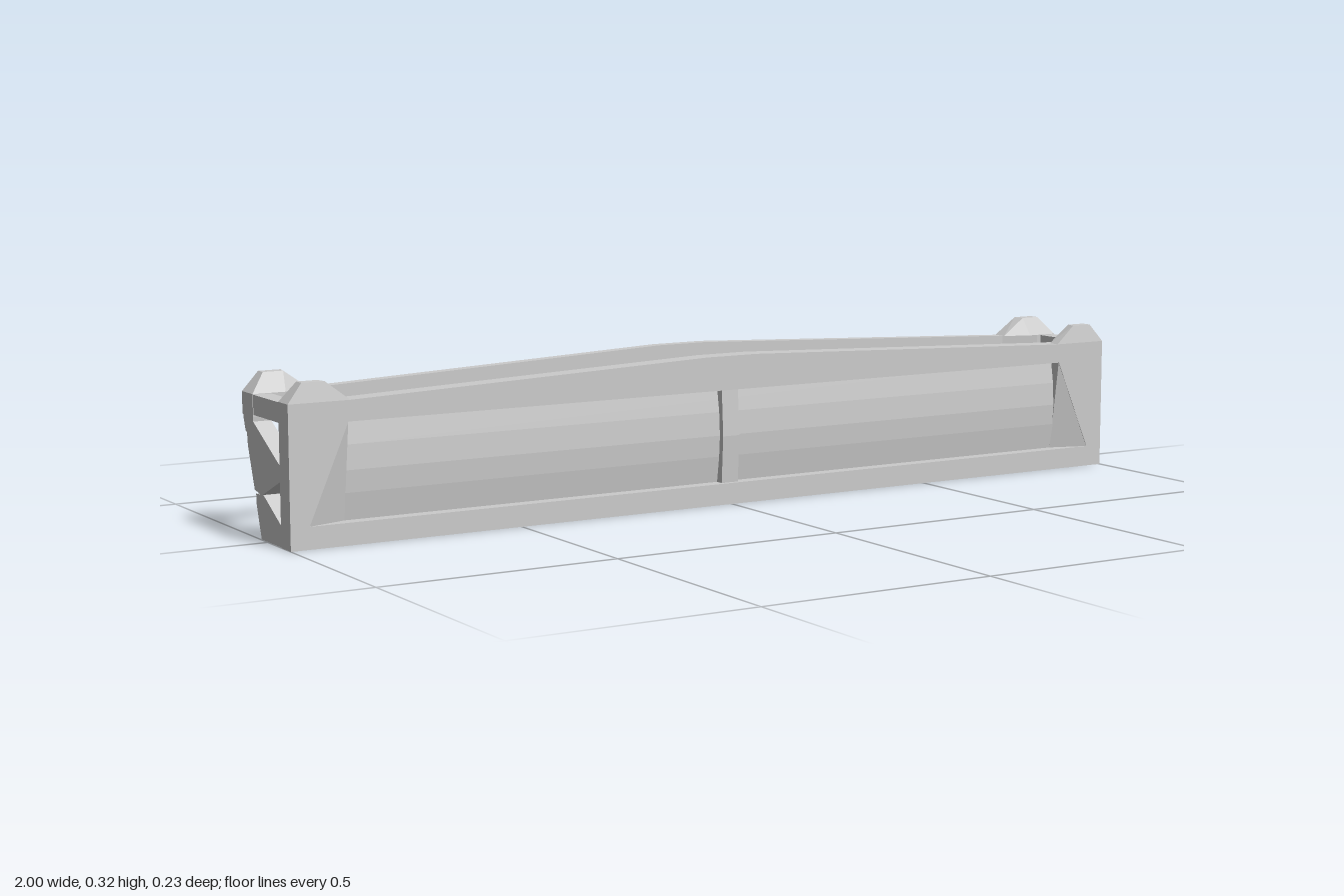
import * as THREE from 'three';
import { ConvexGeometry } from 'three/addons/geometries/ConvexGeometry.js';

const material = new THREE.MeshStandardMaterial({ color: 0xcccccc, flatShading: true, side: THREE.DoubleSide });

const toShape = (pts) => new THREE.Shape(pts.map(([a, b]) => new THREE.Vector2(a, b)));

export function createModel() {
  const model = new THREE.Group();
  const add = (name, geometry) => {
    const mesh = new THREE.Mesh(geometry, material);
    mesh.name = name;
    model.add(mesh);
    return mesh;
  };

  // Outline drawn in x, y and extruded from z0 to z1
  const alongZ = (shape, z0, z1) =>
    new THREE.ExtrudeGeometry(shape, { depth: z1 - z0, bevelEnabled: false }).translate(0, 0, z0);

  // Outline drawn in z, y and extruded from x0 to x1
  const alongX = (pts, x0, x1) =>
    new THREE.ExtrudeGeometry(toShape(pts), { depth: x1 - x0, bevelEnabled: false })
      .rotateY(-Math.PI / 2).translate(x1, 0, 0);

  const hull = (pts) => new ConvexGeometry(pts.map((p) => new THREE.Vector3(...p)));

  // Front frame with a gently peaked top and a window
  const frame = toShape([[-1, 0], [1, 0], [1, 0.285], [0.87, 0.285], [0.06, 0.315], [-0.06, 0.315],
    [-0.87, 0.285], [-1, 0.285]]);
  frame.holes.push(new THREE.Path([[-0.96, 0.045], [-0.875, 0.243], [0.875, 0.243], [0.96, 0.045]]
    .map(([x, y]) => new THREE.Vector2(x, y))));
  add('frontFrame', alongZ(frame, 0.068, 0.114));

  // Panel bulging softly forward inside the window
  add('frontPanel', alongX([[0.074, 0.04], [0.085, 0.04], [0.094, 0.1], [0.097, 0.145],
    [0.094, 0.195], [0.085, 0.25], [0.074, 0.25]], -0.89, 0.89));

  // Narrow upright in the middle of the window
  add('frontStrut', alongX([[0.07, 0.04], [0.104, 0.04], [0.11, 0.145], [0.104, 0.25], [0.07, 0.25]], -0.02, 0.02));

  // Rear rail with a peaked top
  add('rearRail', alongZ(toShape([[-0.98, 0.24], [0.98, 0.24], [0.98, 0.285], [0.87, 0.285],
    [0.06, 0.32], [-0.06, 0.32], [-0.87, 0.285], [-0.98, 0.285]]), -0.114, -0.088));

  // Support bracket: foot, and arm reaching back to the rear rail
  const foot = [[0.075, 0], [-0.035, 0], [-0.058, 0.07], [-0.058, 0.088], [-0.02, 0.09], [0.075, 0.037]];
  const arm = [[0.075, 0.127], [0.068, 0.13], [-0.03, 0.088], [-0.065, 0.095], [-0.095, 0.18], [-0.098, 0.205],
    [-0.105, 0.208], [-0.113, 0.23], [-0.114, 0.285], [-0.06, 0.285], [-0.065, 0.23], [0.068, 0.158], [0.075, 0.158]];
  const addBracket = (name, x0, x1) => {
    add(name + 'Foot', alongX(foot, x0, x1));
    add(name + 'Arm', alongX(arm, x0, x1));
    add(name + 'Joint', alongX([[-0.028, 0.08], [-0.056, 0.08], [-0.063, 0.1], [-0.03, 0.1]], x0 + 0.005, x1 - 0.005));
  };
  // The middle arm ends beneath the rail instead of forming a corner post
  const middleArm = [[0.075, 0.127], [0.068, 0.13], [-0.03, 0.088], [-0.065, 0.095], [-0.095, 0.18], [-0.098, 0.205],
    [-0.113, 0.23], [-0.113, 0.26], [-0.09, 0.26], [-0.08, 0.235], [0.068, 0.158], [0.075, 0.158]];
  add('middleFoot', alongX(foot, -0.016, 0.012));
  add('middleArm', alongX(middleArm, -0.016, 0.012));

  for (const side of [-1, 1]) {
    const label = side > 0 ? 'left' : 'right';
    const [x0, x1] = side > 0 ? [0.96, 0.998] : [-0.998, -0.96];
    addBracket(label + 'Bracket', x0, x1);

    // Cross beam between front frame and rear rail
    add(label + 'CrossBeam', new THREE.BoxGeometry(0.038, 0.04, 0.17).translate(side * 0.98, 0.264, -0.01));

    // Sloped cheek closing the side of the window
    add(label + 'WindowCheek', hull([[0.875, 0.243, 0.113], [0.96, 0.045, 0.113], [0.875, 0.243, 0.07],
      [0.96, 0.045, 0.07], [0.875, 0.045, 0.086], [0.875, 0.045, 0.07]].map(([x, y, z]) => [side * x, y, z])));

    // Tapered corner caps, front and rear
    const addCap = (name, outer, inner, topOuter, topInner) => add(name, hull([
      [1, 0.285, outer], [0.87, 0.285, outer], [1, 0.285, inner], [0.87, 0.285, outer + (inner - outer) * 0.6],
      [0.93, 0.285, inner], [0.968, 0.324, topOuter], [0.92, 0.324, topOuter], [0.968, 0.324, topInner],
      [0.925, 0.324, topInner]].map(([x, y, z]) => [side * x, y, z])));
    addCap(label + 'FrontCap', 0.114, 0.068, 0.107, 0.083);
    addCap(label + 'RearCap', -0.114, -0.06, -0.107, -0.083);

    // Rear corner block joining rail, beam and bracket
    const corner = [[1, -0.114], [0.87, -0.114], [0.87, -0.088], [0.95, -0.06], [1, -0.06]];
    add(label + 'RearCorner', hull(corner.flatMap(([x, z]) => [[side * x, 0.24, z], [side * x, 0.285, z]])));
  }

  return model;
}
